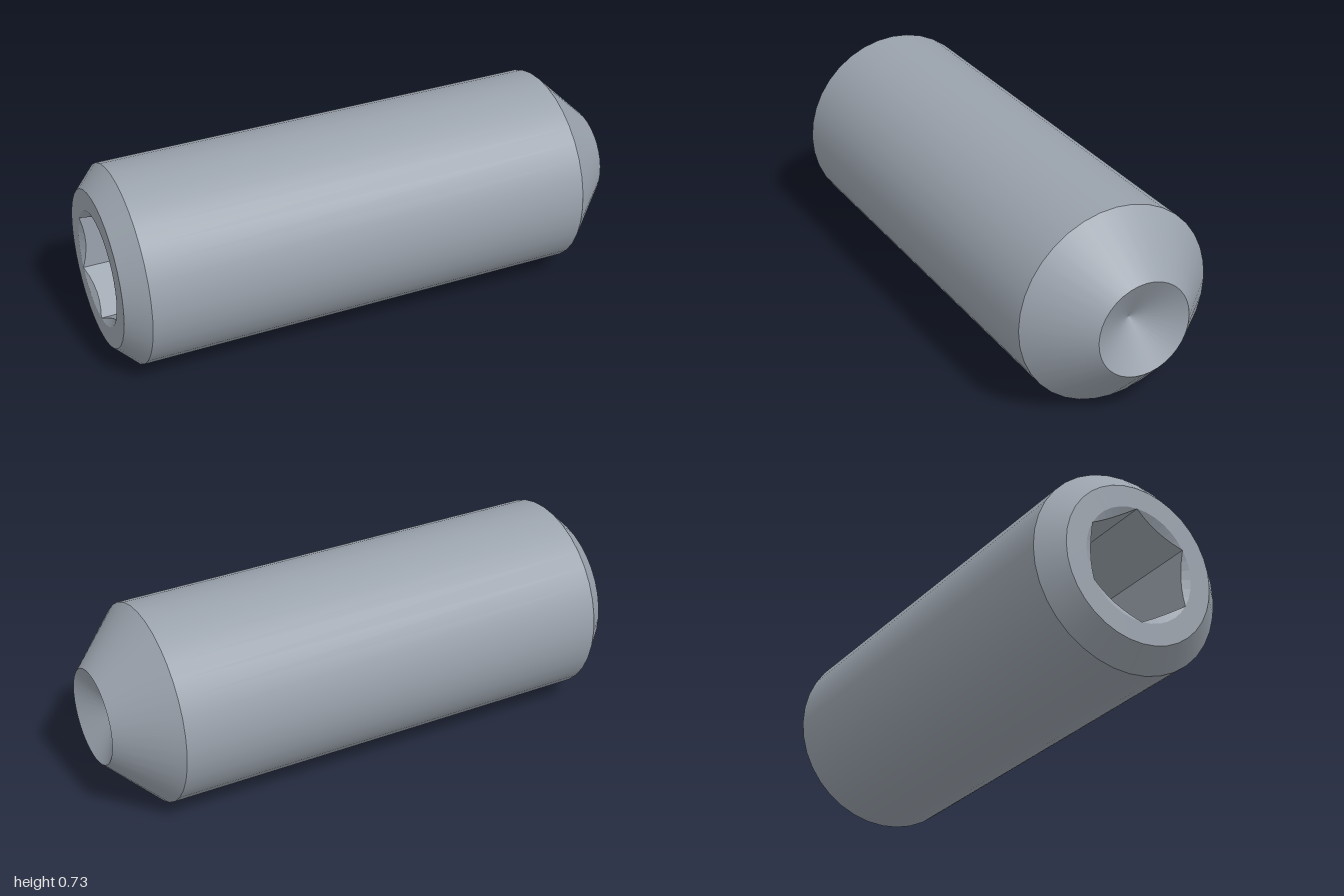
import * as THREE from 'three';

const SEGMENTS = 36;              // divisible by six so the hex corners fall on vertices
const YAW = THREE.MathUtils.degToRad(12);
const RADIUS = 0.365;             // shank
const SOCKET_RADIUS = 0.211;      // corner radius of the hex socket
const HEAD_END = -0.96, HEAD_EDGE = -0.883, TIP_EDGE = 0.794, TIP_END = 0.986;

const steel = new THREE.MeshStandardMaterial({ color: 0x9aa2ac });
steel.name = 'steel';

// One straight stretch of the turned profile, smooth around and sharp at its ends
function turned(name, r0, y0, r1, y1) {
  const points = [new THREE.Vector2(r0, y0), new THREE.Vector2(r1, y1)];
  const mesh = new THREE.Mesh(new THREE.LatheGeometry(points, SEGMENTS), steel);
  mesh.name = name;
  return mesh;
}

// Flat-sided surface lofted through ring functions angle -> [radius, height]
function loft(name, from, to) {
  const positions = [];
  const at = (ring, i) => {
    const a = (i / SEGMENTS) * Math.PI * 2;
    const [r, y] = ring(a);
    return [r * Math.sin(a), y, r * Math.cos(a)];
  };
  for (let i = 0; i < SEGMENTS; i++) {
    const a = at(from, i), b = at(from, i + 1), c = at(to, i + 1), d = at(to, i);
    positions.push(...a, ...b, ...d, ...c, ...d, ...b);
  }
  const geometry = new THREE.BufferGeometry();
  geometry.setAttribute('position', new THREE.Float32BufferAttribute(positions, 3));
  geometry.computeVertexNormals();
  const mesh = new THREE.Mesh(geometry, steel);
  mesh.name = name;
  return mesh;
}

// Distance from the axis to the hex outline at a given angle
function hexRadius(angle) {
  const sector = Math.PI / 3;
  const offset = angle - Math.round(angle / sector) * sector;
  return SOCKET_RADIUS * Math.cos(Math.PI / 6) / Math.cos(offset);
}

export function createModel() {
  const screw = new THREE.Group();
  screw.name = 'setScrew';

  // Turned outside, from the socket end to the cupped tip
  screw.add(
    turned('headFace', SOCKET_RADIUS, HEAD_END, 0.289, HEAD_END),
    turned('headChamfer', 0.289, HEAD_END, RADIUS, HEAD_EDGE),
    turned('shank', RADIUS, HEAD_EDGE, RADIUS, TIP_EDGE),
    turned('tipCone', RADIUS, TIP_EDGE, 0.175, TIP_END),
    turned('tipCup', 0.175, TIP_END, 0, TIP_END - 0.1),
  );

  // Hex socket: drilled bottom, six walls, countersunk mouth
  const floor = HEAD_END + 0.43;
  const apex = () => [0, floor + 0.1];
  const wallEnd = (a) => [hexRadius(a), floor];
  const wallStart = (a) => [hexRadius(a), HEAD_END + (SOCKET_RADIUS - hexRadius(a)) * 0.58];
  const mouth = () => [SOCKET_RADIUS, HEAD_END];
  screw.add(
    loft('socketBottom', apex, wallEnd),
    loft('socketWalls', wallEnd, wallStart),
    loft('socketCountersink', wallStart, mouth),
  );

  // Lay the screw down and turn it slightly
  screw.rotation.set(0, -YAW, -Math.PI / 2, 'YXZ');
  screw.position.set(-0.002, RADIUS, 0.007);

  const model = new THREE.Group();
  model.name = 'model';
  model.add(screw);
  return model;
}
